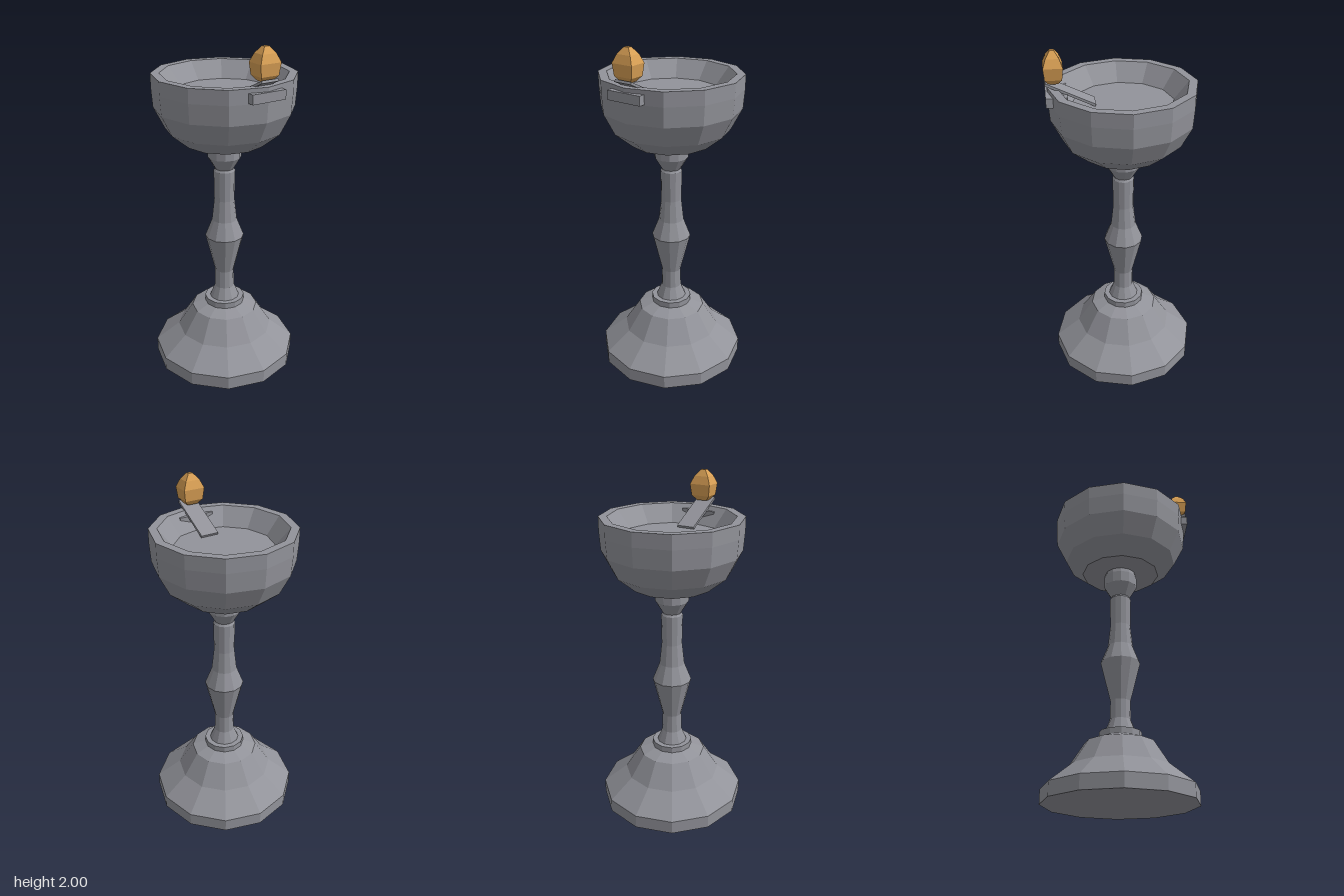
import * as THREE from 'three';

export function createModel() {
  const group = new THREE.Group();
  const stone = new THREE.MeshStandardMaterial({ color: 0x92939a, flatShading: true });
  stone.name = 'grey stone';
  const flameColor = new THREE.MeshStandardMaterial({ color: 0xd9a055, flatShading: true });
  flameColor.name = 'warm orange';

  const add = (name, geometry, material) => {
    const mesh = new THREE.Mesh(geometry, material);
    mesh.name = name;
    group.add(mesh);
    return mesh;
  };
  // Faceted turned part from [radius, height] pairs, listed from the bottom up
  const turned = (name, profile, sides = 12, material = stone, start = 0) =>
    add(name, new THREE.LatheGeometry(
      profile.map(([r, y]) => new THREE.Vector2(r, y)), sides, start), material);

  // Wide foot
  turned('base', [[0, 0], [0.432, 0], [0.432, 0.08], [0.29, 0.195], [0.2, 0.333], [0.12, 0.362], [0, 0.362]]);
  turned('collar', [[0, 0.36], [0.12, 0.36], [0.12, 0.398], [0, 0.398]]);

  // Turned stem and the knob under the bowl
  turned('stem', [[0.09, 0.395], [0.06, 0.47], [0.057, 0.58], [0.115, 0.815], [0.074, 0.92],
    [0.06, 1.05], [0.063, 1.23], [0.053, 1.245]]);
  turned('knob', [[0, 1.24], [0.053, 1.24], [0.098, 1.315], [0.098, 1.38], [0.09, 1.41]]);

  // Bowl: outer wall, rim, inner wall and floor
  turned('bowl', [[0, 1.405], [0.232, 1.405], [0.336, 1.49], [0.397, 1.61], [0.405, 1.72],
    [0.405, 1.8], [0.357, 1.8], [0.277, 1.7], [0, 1.7]]);

  // Block through the front wall of the bowl
  add('clampBlock', new THREE.BoxGeometry(0.208, 0.052, 0.115), stone).position.set(0, 1.751, 0.358);

  // Sloping plank from the bowl floor out over the rim
  const plank = add('plank', new THREE.BoxGeometry(0.105, 0.014, 0.29), stone);
  plank.position.set(0, 1.77, 0.284);
  plank.rotation.x = -Math.atan2(0.125, 0.258);

  // Four-sided flame, slightly narrower front to back
  const k = Math.SQRT2;
  const flame = turned('flame', [[0, 1.826], [0.03 * k, 1.826], [0.055 * k, 1.855], [0.063 * k, 1.92],
    [0.043 * k, 1.965], [0.014 * k, 2], [0, 2]], 4, flameColor, Math.PI / 4);
  flame.scale.z = 0.82;
  flame.position.z = 0.369;

  return group;
}
